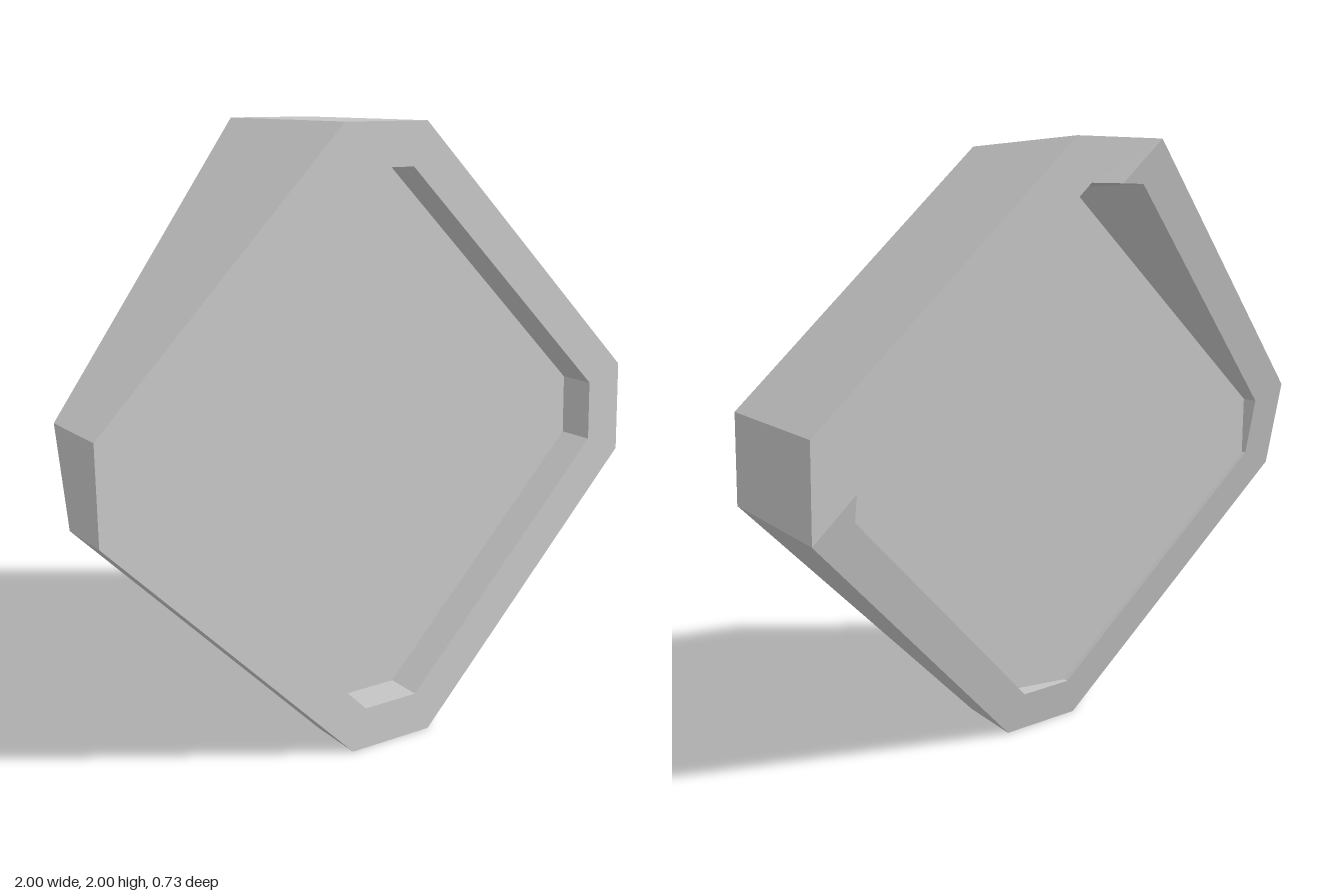
import * as THREE from 'three';

const FRONT = 0.365, DEPTH = 0.675, LEAN = 0.0275;
const CREASE = 0.85, TAPER = 0.235;

// Chamfered diamond, counter-clockwise from the front; a = half width, b = half flat
const octagon = (a, b) => [[a, -b], [a, b], [b, a], [-b, a], [-a, b], [-a, -b], [-b, -a], [b, -a]];

// The back is full depth at the upper left corner and slopes forward past the crease
const depthAt = ([x, y]) => DEPTH - TAPER * Math.max(0, CREASE - x - y);

// Place a profile point at a depth behind the leaning front plane
const place = ([x, y], d) => new THREE.Vector3(x, y + 1, FRONT - LEAN * (y + 1) - d);

// Closed strips between successive loops of points, with flat faces
function loopsGeometry(loops) {
  const pos = [];
  const tri = (a, b, c) => {
    const area = b.clone().sub(a).cross(c.clone().sub(a)).length();
    if (area > 1e-6) for (const p of [a, b, c]) pos.push(p.x, p.y, p.z);
  };
  loops.forEach((A, k) => {
    const B = loops[(k + 1) % loops.length];
    A.forEach((p, i) => {
      const j = (i + 1) % A.length;
      tri(p, A[j], B[j]);
      tri(p, B[j], B[i]);
    });
  });
  const g = new THREE.BufferGeometry();
  g.setAttribute('position', new THREE.Float32BufferAttribute(pos, 3));
  g.computeVertexNormals();
  return g;
}

export function createModel() {
  const group = new THREE.Group();
  group.name = 'diamondHousing';
  const grey = new THREE.MeshStandardMaterial({ color: 0xc4c4c4 });
  grey.name = 'grey';

  // Frame: crease points are added to the inner loop, opposite doubled outer corners
  const outer = octagon(1, 0.153), inner = octagon(0.863, 0.1);
  const c = CREASE - 0.863;
  const o = [outer[0], ...outer.slice(0, 4), ...outer.slice(3)];
  const n = [inner[0], [0.863, c], inner[1], inner[2], [c, 0.863], ...inner.slice(3)];
  const frame = new THREE.Mesh(loopsGeometry([
    o.map(p => place(p, depthAt(p))),
    o.map(p => place(p, 0)),
    n.map(p => place(p, 0)),
    n.map(p => place(p, depthAt(p))),
  ]), grey);
  frame.name = 'frame';
  group.add(frame);

  // Recessed panel filling the opening
  const shape = new THREE.Shape(inner.map(p => new THREE.Vector2(...p)));
  const geo = new THREE.ExtrudeGeometry(shape, { depth: 0.1, bevelEnabled: false });
  const pos = geo.attributes.position;
  for (let i = 0; i < pos.count; i++) {
    const v = place([pos.getX(i), pos.getY(i)], 0.228 - pos.getZ(i));
    pos.setXYZ(i, v.x, v.y, v.z);
  }
  geo.computeVertexNormals();
  const panel = new THREE.Mesh(geo, grey);
  panel.name = 'panel';
  group.add(panel);

  return group;
}
